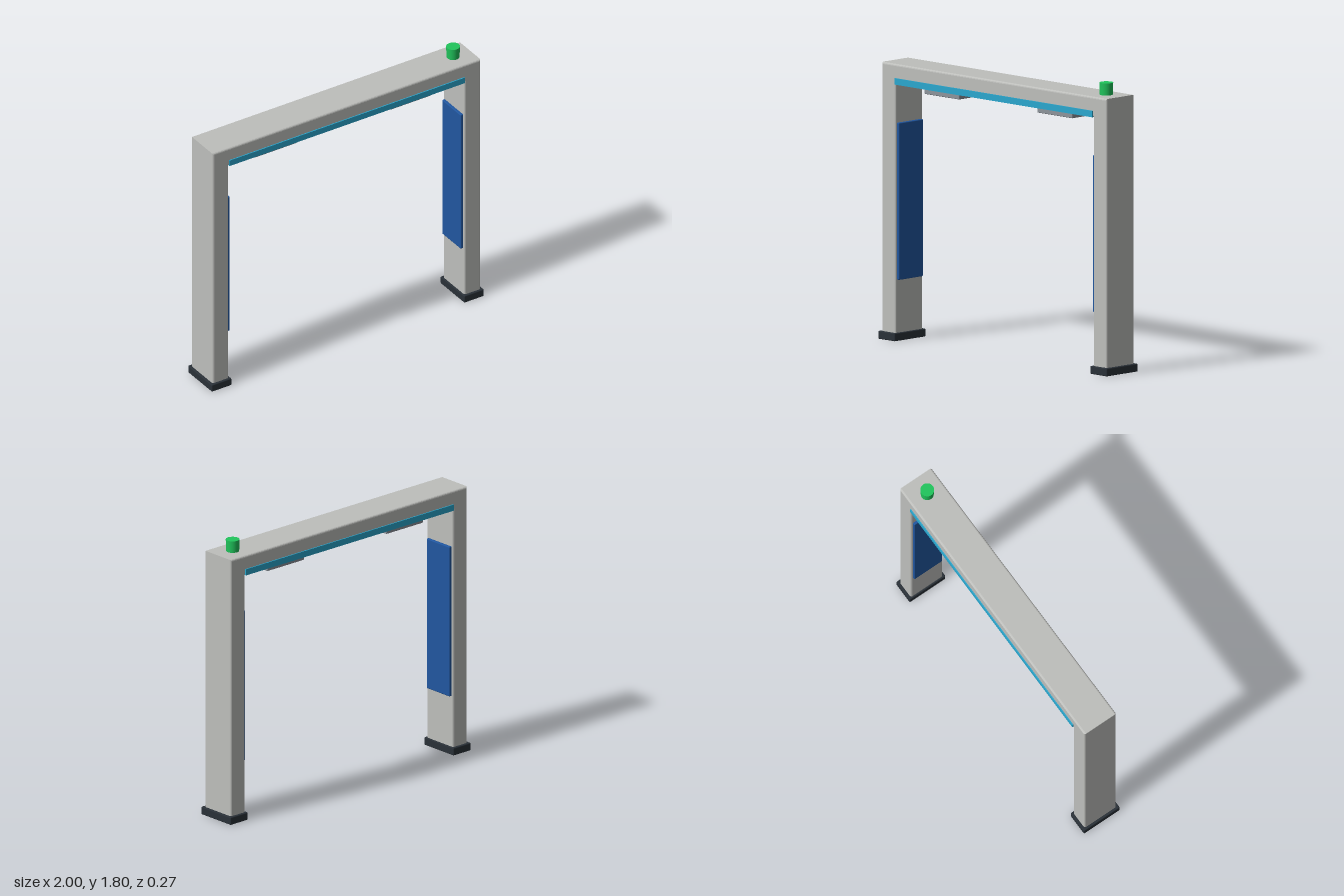
import * as THREE from 'three';
import { RoundedBoxGeometry } from 'three/addons/geometries/RoundedBoxGeometry.js';

const mat = (name, color) => {
  const m = new THREE.MeshStandardMaterial({ color });
  m.name = name;
  return m;
};

export function createModel() {
  const group = new THREE.Group();
  group.name = 'walkThroughGate';

  const frameGrey = mat('frameGrey', 0xbebfbc);
  const footDark = mat('footCharcoal', 0x2a3138);
  const stripCyan = mat('stripCyan', 0x2ba8cf);
  const panelBlue = mat('panelBlue', 0x2157a0);
  const sensorGrey = mat('sensorGrey', 0x8d949c);
  const beaconGreen = mat('beaconGreen', 0x20c55c);

  const add = (name, geometry, material, x, y, z) => {
    const mesh = new THREE.Mesh(geometry, material);
    mesh.name = name;
    mesh.position.set(x, y, z);
    group.add(mesh);
    return mesh;
  };

  // Portal frame: one bevelled U-shaped extrusion, two legs and a beam
  const outer = 0.985, inner = 0.865, top = 1.727, under = 1.6, depth = 0.24, bevel = 0.012;
  const outline = new THREE.Shape([
    [-outer, 0.005], [-inner, 0.005], [-inner, under], [inner, under],
    [inner, 0.005], [outer, 0.005], [outer, top], [-outer, top],
  ].map(([x, y]) => new THREE.Vector2(x, y)));
  const frame = new THREE.ExtrudeGeometry(outline, {
    depth: depth - 2 * bevel, bevelThickness: bevel, bevelSize: bevel,
    bevelOffset: -bevel, bevelSegments: 3,
  });
  add('frame', frame, frameGrey, 0, 0, -depth / 2 + bevel);

  for (const [side, s] of [['left', 1], ['right', -1]]) {
    // Rubber foot around the leg base
    add(side + 'Foot', new RoundedBoxGeometry(0.145, 0.05, 0.27, 2, 0.006), footDark, s * 0.9275, 0.025, 0);
    // Blue panel on the inner face of the leg
    add(side + 'Panel', new RoundedBoxGeometry(0.03, 0.98, 0.21, 2, 0.006), panelBlue, s * 0.863, 0.87, 0);
    // Sensor plate below the beam
    add(side + 'Sensor', new RoundedBoxGeometry(0.305, 0.045, 0.17, 2, 0.005), sensorGrey, s * 0.495, 1.585, 0);
  }

  // Light strips along the lower edge of the beam, front and back
  for (const [side, s] of [['front', 1], ['back', -1]]) {
    add(side + 'LightStrip', new THREE.BoxGeometry(inner * 2, 0.04, 0.014), stripCyan, 0, 1.62, s * 0.12);
  }

  // Signal beacon on top of the left leg
  add('beacon', new THREE.CylinderGeometry(0.043, 0.04, 0.08, 32), beaconGreen, 0.86, 1.763, 0);

  return group;
}
